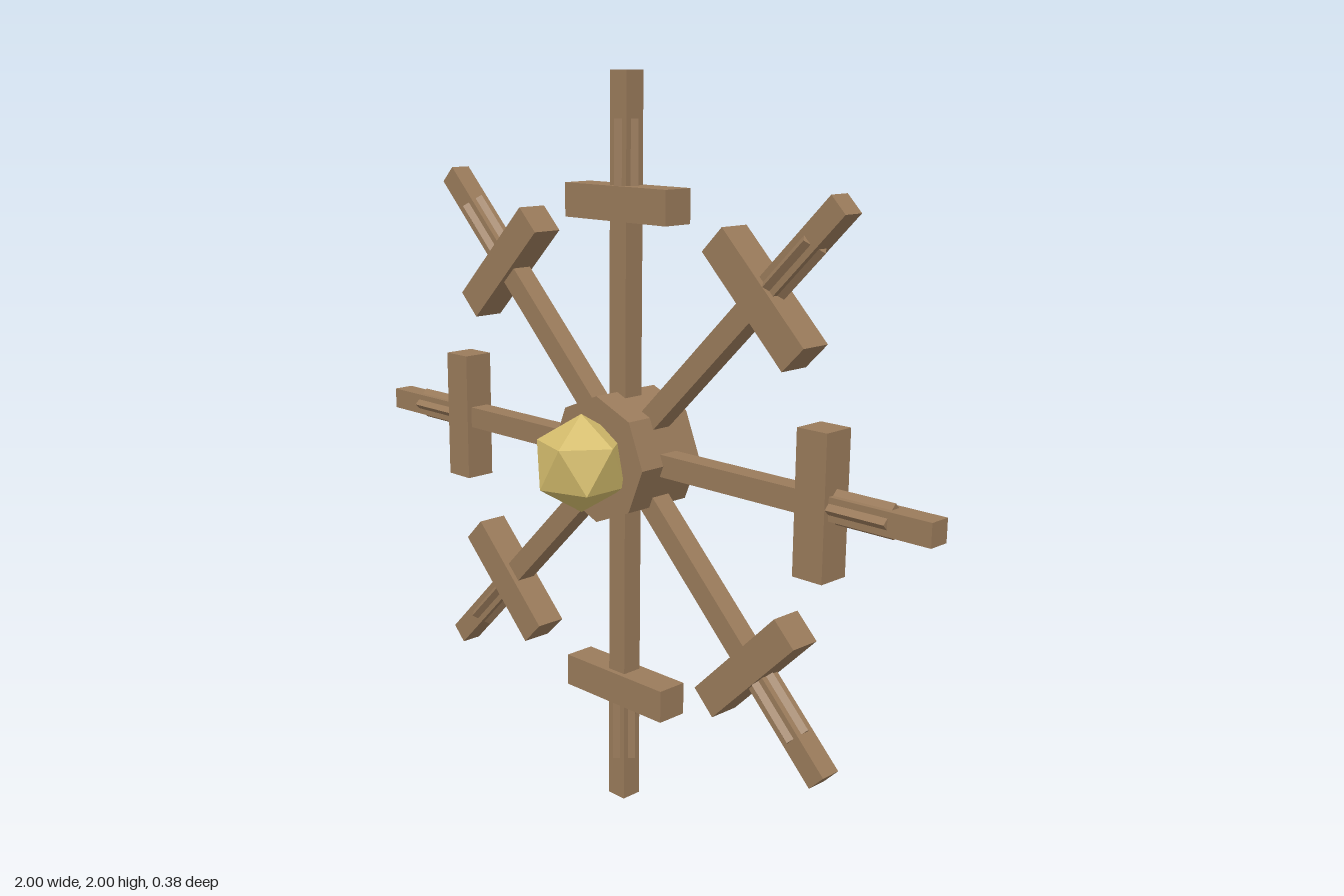
import * as THREE from 'three';

const wood = new THREE.MeshStandardMaterial({ color: 0x9a7b5b, flatShading: true });
wood.name = 'brown wood';
const gold = new THREE.MeshStandardMaterial({ color: 0xd4bc6c, flatShading: true });
gold.name = 'pale gold';

const Z = -0.083; // depth of the wheel plane

function addPart(parent, name, geometry, material, x, y, z) {
  const mesh = new THREE.Mesh(geometry, material);
  mesh.name = name;
  mesh.position.set(x, y, z);
  parent.add(mesh);
  return mesh;
}

export function createModel() {
  const model = new THREE.Group();
  model.name = 'spokedWheel';

  // Octagonal hub with its axis facing front
  const hub = new THREE.CylinderGeometry(0.172, 0.172, 0.214, 8).rotateX(Math.PI / 2);
  addPart(model, 'hub', hub, wood, 0, 1, Z);

  // Faceted knob standing on one of its points
  const knob = new THREE.IcosahedronGeometry(0.133, 0)
    .rotateX(-Math.atan((1 + Math.sqrt(5)) / 2))
    .rotateY(Math.PI / 2);
  addPart(model, 'knob', knob, gold, 0, 1, 0.078);

  // Eight spokes, each with a crossbar and a diamond-section sleeve
  const beam = new THREE.BoxGeometry(0.06, 1, 0.06);
  const bar = new THREE.BoxGeometry(0.37, 0.09, 0.09);
  const sleeve = new THREE.CylinderGeometry(0.044, 0.044, 0.22, 4);
  for (let i = 0; i < 8; i++) {
    const spoke = new THREE.Group();
    spoke.name = 'spoke' + (i + 1);
    spoke.position.set(0, 1, Z);
    spoke.rotation.z = (i * Math.PI) / 4;
    addPart(spoke, 'spokeBeam', beam, wood, 0, 0.5, 0);
    addPart(spoke, 'crossbar', bar, wood, 0, 0.667, 0);
    addPart(spoke, 'sleeve', sleeve, wood, 0, 0.77, 0);
    model.add(spoke);
  }
  return model;
}
